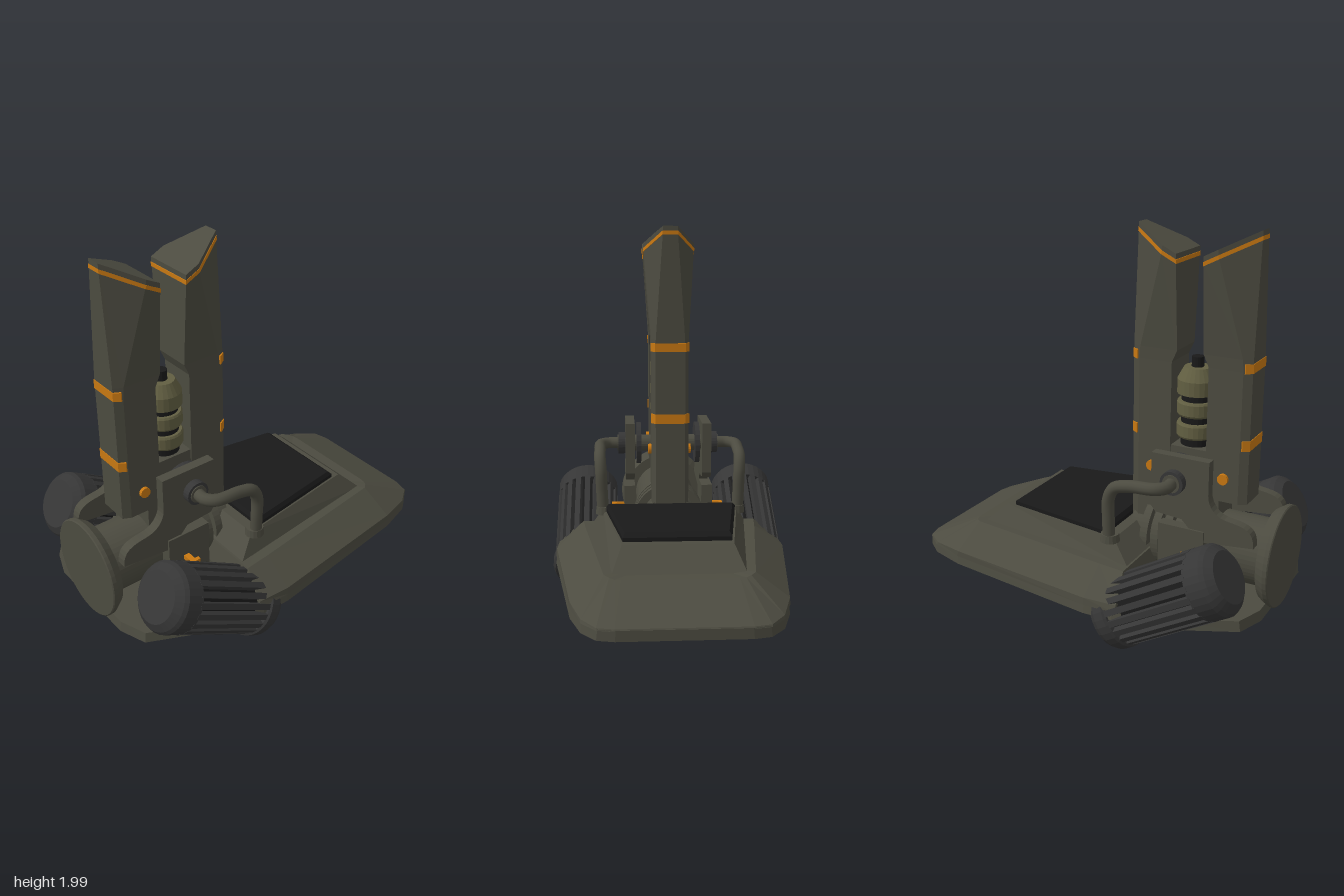
import * as THREE from 'three';

const mat = (color) => new THREE.MeshStandardMaterial({ color, flatShading: true });
const BODY = mat(0x4c4b40), DARK = mat(0x363636), BLACK = mat(0x191919);
const ORANGE = mat(0xc87812), OLIVE = mat(0x625f42);

function add(parent, name, geometry, material, x = 0, y = 0, z = 0) {
  const mesh = new THREE.Mesh(geometry, material);
  mesh.name = name;
  mesh.position.set(x, y, z);
  parent.add(mesh);
  return mesh;
}

// Closed ring from half an outline, listed back to front on the +x side
function mirrorRing(half) {
  return [...half, ...half.slice().reverse().map(([x, y, z]) => [-x, y, z])];
}
const level = (y, half) => mirrorRing(half.map(([x, z]) => [x, y, z]));

// Skin stacked rings from the bottom up and cap both ends
function loft(rings) {
  const n = rings[0].length, pos = [];
  const tri = (...corners) => corners.forEach((c) => pos.push(...c));
  for (let r = 0; r < rings.length - 1; r++) {
    const a = rings[r], b = rings[r + 1];
    for (let i = 0; i < n; i++) {
      const j = (i + 1) % n;
      tri(a[i], b[i], b[j]);
      tri(a[i], b[j], a[j]);
    }
  }
  const middle = (ring) => [0, 1, 2].map((k) => ring.reduce((s, p) => s + p[k], 0) / n);
  const low = rings[0], high = rings[rings.length - 1];
  const cl = middle(low), ch = middle(high);
  for (let i = 0; i < n; i++) {
    const j = (i + 1) % n;
    tri(cl, low[i], low[j]);
    tri(ch, high[j], high[i]);
  }
  const g = new THREE.BufferGeometry();
  g.setAttribute('position', new THREE.Float32BufferAttribute(pos, 3));
  g.computeVertexNormals();
  return g;
}

const lathe = (points, sides = 32) =>
  new THREE.LatheGeometry(points.map(([r, y]) => new THREE.Vector2(r, y)), sides);
const box = (w, h, d) => new THREE.BoxGeometry(w, h, d);
const axleX = (r, length, sides = 24) =>
  new THREE.CylinderGeometry(r, r, length, sides).rotateZ(Math.PI / 2);

function makeHull() {
  const g = new THREE.Group();
  g.name = 'hull';
  const back = [[0.30, -0.95], [0.38, -0.93], [0.45, -0.84], [0.505, -0.66], [0.615, 0.17]];
  const outline = [...back, [0.61, 0.32], [0.54, 0.62], [0.41, 0.89], [0.27, 0.94]];
  const plateTop = outline.map(([x, z]) => [x * 0.985, z > 0.4 ? z - 0.01 : z]);
  add(g, 'basePlate', loft([level(0.22, outline), level(0.27, plateTop)]), BODY);

  // Sloped upper hull, cut off square behind the front machinery
  add(g, 'upperHull', loft([
    level(0.265, [...back, [0.61, 0.34]]),
    mirrorRing([[0.30, 0.275, -0.945], [0.38, 0.275, -0.925], [0.45, 0.28, -0.83],
      [0.505, 0.295, -0.65], [0.61, 0.30, 0.17], [0.60, 0.30, 0.34]]),
    mirrorRing([[0.27, 0.40, -0.67], [0.30, 0.40, -0.665], [0.325, 0.405, -0.65],
      [0.35, 0.41, -0.62], [0.455, 0.41, 0.17], [0.47, 0.41, 0.31]]),
  ]), BODY);
  add(g, 'raisedDeck', loft([
    level(0.40, [[0.315, -0.61], [0.42, 0.31]]),
    level(0.51, [[0.265, -0.49], [0.36, 0.20]]),
  ]), BODY);
  add(g, 'deckPanel', loft([
    level(0.50, [[0.26, -0.445], [0.345, 0.145]]),
    level(0.53, [[0.26, -0.445], [0.345, 0.145]]),
    level(0.55, [[0.25, -0.42], [0.33, 0.13]]),
  ]), BLACK);
  for (const s of [-1, 1]) {
    const fin = add(g, 'bellyFin', new THREE.ConeGeometry(0.025, 0.08, 4), BODY, s * 0.05, 0.18, 0.3);
    fin.rotation.x = Math.PI;
  }
  return g;
}

// Horizontal drum with a flanged front disc and cooling rings behind
function makeDrum() {
  const profile = [[0, 0.17], [0.14, 0.17], [0.14, 0.24]];
  for (const z of [0.25, 0.31, 0.37]) {
    profile.push([0.15, z], [0.19, z], [0.19, z + 0.04], [0.15, z + 0.04]);
  }
  profile.push([0.17, 0.45], [0.17, 0.88], [0.225, 0.88], [0.255, 0.925], [0.255, 0.945], [0.25, 0.95], [0, 0.95]);
  return [lathe(profile, 48).rotateX(Math.PI / 2), BODY, 0, 0.437, 0];
}

// Upright flaring rail; +z is its outer side, origin midway between both rails
function makeRail(bottom) {
  const g = new THREE.Group();
  g.name = 'rail';
  const OUT = 0.307;
  // Section at height y; the top slopes down by "drop" toward the inner face
  const section = (y, drop = 0, grow = 0) => {
    const t = THREE.MathUtils.clamp((y - 1.4) / 0.58, 0, 1);
    const w = 0.098 + 0.037 * t + grow, f = 0.078 - 0.04 * t + grow;
    const inner = y < 1.39 ? 0.095 : 0.068;
    const bevel = OUT - 0.04 - 0.13 * t;
    const at = (x, z) => [x, y - drop * (OUT - z) / 0.24, z];
    return mirrorRing([at(w, inner - grow), at(w, bevel), at(f, OUT + grow)]);
  };
  add(g, 'railBody', loft([section(bottom), section(1.36), section(1.42), section(1.965, 0.12)]), BODY);
  add(g, 'railTrim', loft([section(1.955, 0.12, 0.002), section(1.975, 0.12, 0.002)]), ORANGE);
  add(g, 'railTip', loft([section(1.975, 0.12), section(2.0, 0.12)]), BODY);
  // Orange bands around the outer facets
  for (const [y0, y1] of [[0.975, 1.025], [1.355, 1.4]]) {
    const band = (y) => level(y, [[0.102, 0.275], [0.102, 0.28], [0.08, OUT + 0.003]]);
    add(g, 'railBand', loft([band(y0), band(y1)]), ORANGE);
  }
  add(g, 'railPin', axleX(0.027, 0.23, 16), ORANGE, 0, 0.82, 0.19);
  return g;
}

// Upright capacitor between the rails
function makeCore() {
  const g = new THREE.Group();
  g.name = 'core';
  g.position.z = 0.46;
  add(g, 'coreRod', new THREE.CylinderGeometry(0.075, 0.075, 0.4, 24), BLACK, 0, 1.05);
  for (const y of [0.98, 1.09]) {
    add(g, 'coreRing', lathe([[0.06, y], [0.09, y], [0.096, y + 0.01], [0.096, y + 0.065],
      [0.09, y + 0.075], [0.06, y + 0.075]], 24), OLIVE);
  }
  add(g, 'coreCap', lathe([[0.06, 1.2], [0.097, 1.2], [0.097, 1.27], [0.065, 1.33], [0, 1.33]], 24), OLIVE);
  add(g, 'coreTip', new THREE.CylinderGeometry(0.03, 0.03, 0.06, 16), BLACK, 0, 1.35);
  return g;
}

// Finned pod along local y, tilted so its top leans forward
function makePod(side) {
  const g = new THREE.Group();
  g.name = side > 0 ? 'leftPod' : 'rightPod';
  g.position.set(side * 0.455, 0.488, 0.80);
  g.rotation.x = 1.038;
  add(g, 'podCap', lathe([[0.1, -0.09], [0.172, -0.09], [0.172, 0], [0.16, 0.02], [0.125, 0.05], [0, 0.05]]), DARK);
  add(g, 'podCore', new THREE.CylinderGeometry(0.14, 0.14, 0.5, 32), BLACK, 0, -0.33);
  for (let i = 0; i < 20; i++) {
    const a = (i / 20) * Math.PI * 2;
    const fin = add(g, 'podFin', box(0.03, 0.5, 0.045), DARK, Math.sin(a) * 0.15, -0.33, Math.cos(a) * 0.15);
    fin.rotation.y = a;
  }
  add(g, 'podCollar', lathe([[0, -0.66], [0.13, -0.66], [0.17, -0.645], [0.182, -0.62], [0.182, -0.57],
    [0.17, -0.56], [0.1, -0.56]]), DARK);
  add(g, 'podRing', new THREE.CylinderGeometry(0.09, 0.09, 0.016, 32), ORANGE, 0, -0.663);
  add(g, 'podBoss', lathe([[0, -0.72], [0.055, -0.72], [0.065, -0.7], [0.08, -0.69], [0.08, -0.66]]), DARK);
  return g;
}

// Side mount: cheek plate, axle, hose and struts
function makeMount(s) {
  const g = new THREE.Group();
  g.name = s > 0 ? 'leftMount' : 'rightMount';
  const cheek = new THREE.Shape();
  cheek.moveTo(0.635, 0.945);
  cheek.lineTo(0.635, 0.78);
  cheek.bezierCurveTo(0.635, 0.72, 0.68, 0.675, 0.74, 0.67);
  cheek.bezierCurveTo(0.82, 0.66, 0.87, 0.65, 0.87, 0.56);
  for (const [z, y] of [[0.60, 0.53], [0.50, 0.63], [0.36, 0.64], [0.335, 0.67], [0.335, 0.945]]) cheek.lineTo(z, y);
  const plate = new THREE.ExtrudeGeometry(cheek, { depth: 0.05, bevelEnabled: false, curveSegments: 8 });
  plate.rotateY(-Math.PI / 2).translate(0.025, 0, 0);
  add(g, 'cheekPlate', plate, BODY, s * 0.21);
  add(g, 'innerDisc', axleX(0.115, 0.025), DARK, s * 0.162, 0.82, 0.46);
  add(g, 'axle', axleX(0.045, 0.2), BODY, s * 0.18, 0.82, 0.46);
  add(g, 'axleHub', axleX(0.06, 0.05), DARK, s * 0.25, 0.82, 0.46);
  add(g, 'lowerStrut', box(0.06, 0.34, 0.24), BODY, s * 0.215, 0.42, 0.5);
  add(g, 'podArm', axleX(0.06, 0.25), BODY, s * 0.33, 0.36, 0.55);
  const path = new THREE.CatmullRomCurve3([[0.26, 0.82, 0.46], [0.33, 0.82, 0.46], [0.37, 0.82, 0.42], [0.375, 0.81, 0.29],
    [0.375, 0.785, 0.21], [0.37, 0.72, 0.175], [0.365, 0.6, 0.172], [0.36, 0.49, 0.172]]
    .map(([x, y, z]) => new THREE.Vector3(s * x, y, z)));
  const hose = add(g, 'hose', new THREE.TubeGeometry(path, 40, 0.031, 12), BODY.clone());
  hose.material.flatShading = false;
  add(g, 'hoseFoot', new THREE.CylinderGeometry(0.045, 0.05, 0.04, 16), BODY, s * 0.35, 0.51, 0.172);
  add(g, 'cable', box(0.07, 0.025, 0.03), ORANGE, s * 0.275, 0.45, 0.52);
  add(g, 'cableEnd', box(0.02, 0.025, 0.05), ORANGE, s * 0.305, 0.45, 0.51);
  return g;
}

export function createModel() {
  const model = new THREE.Group();
  model.name = 'railLauncher';
  model.add(makeHull());
  add(model, 'drum', ...makeDrum());

  // Paired rails around the core
  const front = makeRail(0.70), rear = makeRail(0.5);
  front.position.z = rear.position.z = 0.4625;
  rear.rotation.y = Math.PI;
  front.name = 'frontRail';
  rear.name = 'rearRail';
  model.add(front, rear, makeCore());
  add(model, 'railBlock', box(0.18, 0.36, 0.34), BODY, 0, 0.76, 0.46);

  for (const s of [-1, 1]) model.add(makePod(s), makeMount(s));
  return model;
}
